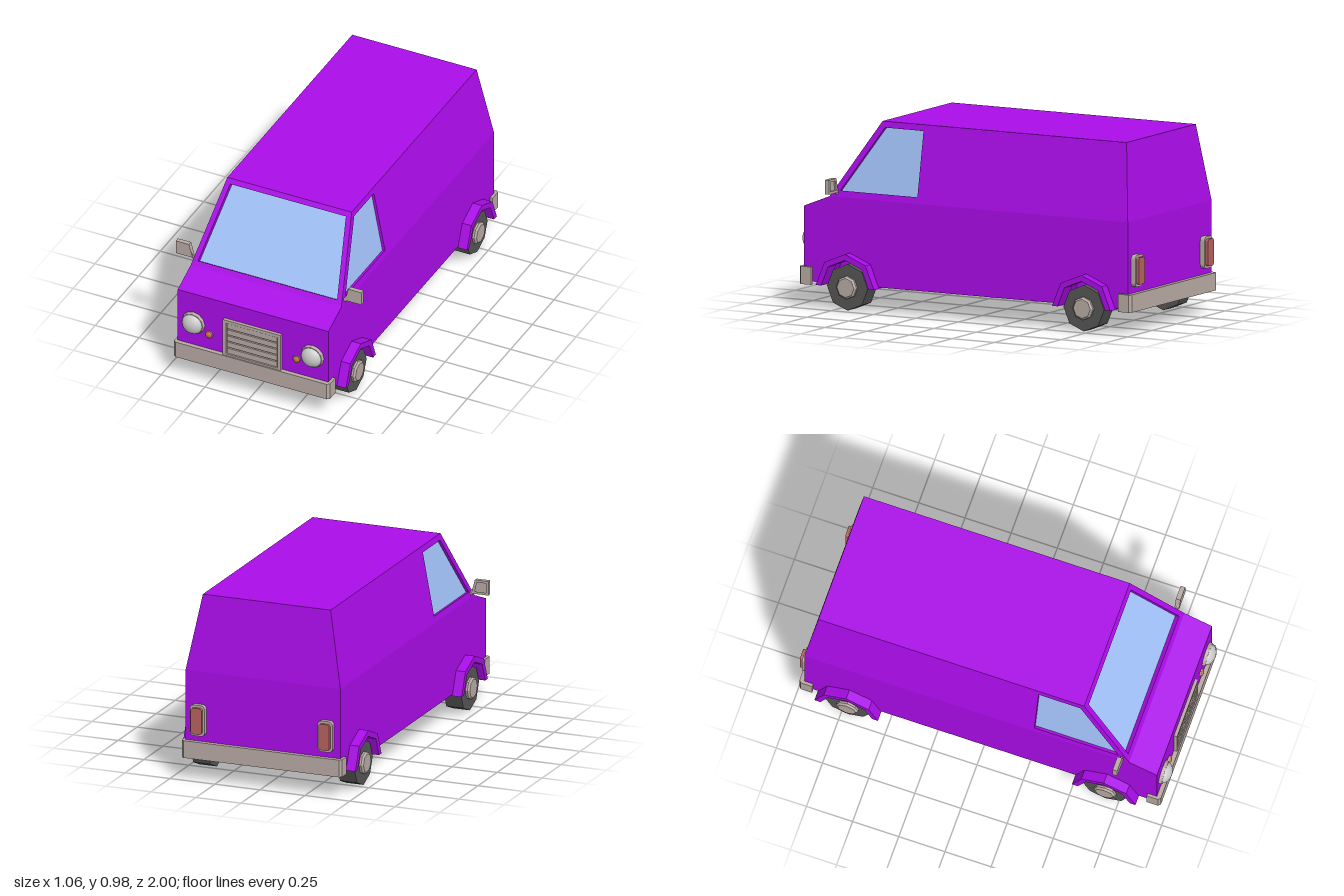
import * as THREE from 'three';

const paint = (color, opts = {}) => new THREE.MeshStandardMaterial({ color, flatShading: true, ...opts });
const PURPLE = paint(0xaa0ce8, { side: THREE.DoubleSide });
const GLASS = paint(0xa3c3fa, { side: THREE.DoubleSide });
const TRIM = paint(0xb8aaa3);
const TYRE = paint(0x555555);
const LAMP = paint(0xcccccc, { flatShading: false });
const AMBER = paint(0xc8703c, { flatShading: false });
const RED = paint(0xb86060);

const V = (x, y, z) => new THREE.Vector3(x, y, z);

function add(parent, name, geometry, material, x = 0, y = 0, z = 0) {
  const mesh = new THREE.Mesh(geometry, material);
  mesh.name = name;
  mesh.position.set(x, y, z);
  parent.add(mesh);
  return mesh;
}

// Quads with corners counter-clockwise seen from outside
function quads(list) {
  const pos = [];
  for (const [a, b, c, d] of list) for (const p of [a, b, c, a, c, d]) pos.push(p.x, p.y, p.z);
  const g = new THREE.BufferGeometry();
  g.setAttribute('position', new THREE.Float32BufferAttribute(pos, 3));
  g.computeVertexNormals();
  return g;
}

// Panel with a window sunk into it
function windowPanel(parent, name, outer, hole, depth) {
  const n = outer[1].clone().sub(outer[0]).cross(outer[2].clone().sub(outer[0])).normalize();
  const pane = hole.map((p) => p.clone().addScaledVector(n, -depth));
  const faces = [];
  for (let i = 0; i < 4; i++) {
    const j = (i + 1) % 4;
    faces.push([outer[i], outer[j], hole[j], hole[i]], [hole[i], hole[j], pane[j], pane[i]]);
  }
  add(parent, name + 'Frame', quads(faces), PURPLE);
  add(parent, name + 'Glass', quads([pane]), GLASS);
}

const shapeOf = (pts) => new THREE.Shape(pts.map(([a, b]) => new THREE.Vector2(a, b)));
const extrude = (shape, depth, extra = {}) =>
  new THREE.ExtrudeGeometry(shape, { depth, bevelEnabled: false, curveSegments: 4, ...extra });

// Side outline given as (z, y), extruded from x0 to x1
const sideExtrude = (pts, x0, x1) => extrude(shapeOf(pts), x1 - x0).rotateY(-Math.PI / 2).translate(x1, 0, 0);

// Upper half of an octagon as (z, y), running from front to back
const halfOctagon = (cz, cy, r) => [0, 1, 2, 3, 4].map((i) => {
  const a = (i * Math.PI) / 4;
  return [cz + r * Math.cos(a), cy + r * Math.sin(a)];
});

function roundedRect(w, h, r) {
  const s = new THREE.Shape();
  const x = w / 2, y = h / 2;
  s.absarc(x - r, y - r, r, 0, Math.PI / 2);
  s.absarc(-x + r, y - r, r, Math.PI / 2, Math.PI);
  s.absarc(-x + r, -y + r, r, Math.PI, 1.5 * Math.PI);
  s.absarc(x - r, -y + r, r, 1.5 * Math.PI, 2 * Math.PI);
  return s;
}

const AXLES = [0.68, -0.715];
const FLOOR = 0.13, BELT = 0.58, ROOF = 0.98;
const halfWidth = (y) => 0.43 - (y - BELT) * 0.1875;

function buildBody() {
  const body = new THREE.Group();
  body.name = 'body';
  // Lower body: solid core and flanks with wheel wells
  const top = [[-0.96, FLOOR], [-0.96, BELT], [0.8, BELT], [0.95, 0.52], [0.95, FLOOR]];
  const wells = AXLES.flatMap((z) => halfOctagon(z, FLOOR, 0.143));
  add(body, 'lowerCore', sideExtrude(top, -0.34, 0.34), PURPLE);
  add(body, 'leftFlank', sideExtrude([...top, ...wells], 0.34, 0.43), PURPLE);
  add(body, 'rightFlank', sideExtrude([...top, ...wells], -0.43, -0.34), PURPLE);

  // Upper body: roof, back and side panels
  const P = (s, y, z) => V(s * halfWidth(y), y, z);
  const upper = [
    [P(-1, ROOF, 0.53), P(1, ROOF, 0.53), P(1, ROOF, -0.91), P(-1, ROOF, -0.91)],
    [P(1, BELT, -0.96), P(-1, BELT, -0.96), P(-1, ROOF, -0.91), P(1, ROOF, -0.91)],
  ];
  for (const s of [1, -1]) {
    const wind = (q) => (s > 0 ? q : q.reverse());
    upper.push(wind([P(s, BELT, 0.25), P(s, BELT, -0.96), P(s, ROOF, -0.91), P(s, ROOF, 0.25)]));
    windowPanel(body, s > 0 ? 'leftWindow' : 'rightWindow',
      wind([P(s, BELT, 0.8), P(s, BELT, 0.25), P(s, ROOF, 0.25), P(s, ROOF, 0.53)]),
      wind([P(s, 0.613, 0.74), P(s, 0.613, 0.285), P(s, 0.948, 0.285), P(s, 0.948, 0.512)]), 0.015);
  }
  add(body, 'upperPanels', quads(upper), PURPLE);

  // Windscreen
  const W = (x, y) => V(x, y, 0.8 - (y - BELT) * 0.675);
  windowPanel(body, 'windscreen',
    [W(-0.43, BELT), W(0.43, BELT), W(0.355, ROOF), W(-0.355, ROOF)],
    [W(-0.397, 0.605), W(0.397, 0.605), W(0.33, 0.956), W(-0.33, 0.956)], 0.025);
  return body;
}

function buildWheel(s, z) {
  const wheel = new THREE.Group();
  wheel.name = 'wheel';
  const disc = (r0, r1, x0, x1) => new THREE.CylinderGeometry(r1, r0, x1 - x0, 8)
    .rotateZ(-Math.PI / 2).translate((x0 + x1) / 2, 0, 0);
  add(wheel, 'tyre', disc(0.12, 0.12, 0.36, 0.455), TYRE);
  add(wheel, 'hub', disc(0.06, 0.06, 0.44, 0.466), TRIM);
  add(wheel, 'hubCap', disc(0.06, 0.05, 0.466, 0.476), TRIM);
  wheel.position.set(0, 0.12, z);
  if (s < 0) wheel.rotation.y = Math.PI;
  return wheel;
}

// U-shaped bumper with chamfered corners, facing +z
function bumperGeometry() {
  const half = [[0.43, 0.9], [0.445, 0.9], [0.445, 0.962], [0.432, 0.973]];
  const mirror = half.map(([x, z]) => [-x, z]).reverse();
  const pts = [...half, ...mirror, [-0.43, 0.948], [0.43, 0.948]];
  return extrude(shapeOf(pts), 0.092).rotateX(Math.PI / 2).translate(0, 0.207, 0);
}

function buildGrille() {
  const grille = new THREE.Group();
  grille.name = 'grille';
  const frame = shapeOf([[-0.165, 0.2], [0.165, 0.2], [0.165, 0.425], [-0.165, 0.425]]);
  frame.holes.push(shapeOf([[-0.147, 0.218], [0.147, 0.218], [0.147, 0.408], [-0.147, 0.408]]));
  add(grille, 'grilleFrame', extrude(frame, 0.022), TRIM, 0, 0, 0.945);
  add(grille, 'grilleBack', new THREE.BoxGeometry(0.3, 0.2, 0.01), TRIM, 0, 0.313, 0.949);
  for (let i = 0; i < 5; i++) {
    add(grille, 'grilleSlat', new THREE.BoxGeometry(0.284, 0.031, 0.014), TRIM, 0, 0.237 + i * 0.038, 0.956);
  }
  return grille;
}

function buildLights(s) {
  const lights = new THREE.Group();
  lights.name = s > 0 ? 'leftLights' : 'rightLights';
  // Headlight and indicator
  const dome = (r, h) => new THREE.SphereGeometry(r, 20, 8, 0, Math.PI * 2, 0, Math.PI / 2)
    .rotateX(Math.PI / 2).scale(1, 1, h / r);
  add(lights, 'headlightRim', new THREE.CylinderGeometry(0.061, 0.067, 0.022, 12).rotateX(Math.PI / 2),
    TRIM, s * 0.34, 0.342, 0.956);
  add(lights, 'headlight', dome(0.058, 0.042), LAMP, s * 0.34, 0.342, 0.958);
  add(lights, 'indicatorRim', new THREE.CylinderGeometry(0.021, 0.021, 0.01, 12).rotateX(Math.PI / 2),
    TRIM, s * 0.25, 0.297, 0.952);
  add(lights, 'indicator', dome(0.018, 0.012), AMBER, s * 0.25, 0.297, 0.956);
  // Tail light
  add(lights, 'tailLightRim', extrude(roundedRect(0.082, 0.165, 0.022), 0.03), TRIM, s * 0.355, 0.323, -0.985);
  add(lights, 'tailLight', extrude(roundedRect(0.06, 0.14, 0.014), 0.02), RED, s * 0.355, 0.323, -1);
  return lights;
}

function buildMirror(s) {
  const mirror = new THREE.Group();
  mirror.name = s > 0 ? 'leftMirror' : 'rightMirror';
  const flip = (pts) => shapeOf(pts.map(([x, y]) => [s * x, y]));
  const outline = [[0.435, 0.605], [0.53, 0.605], [0.53, 0.68], [0.455, 0.68]];
  const rim = flip(outline);
  rim.holes.push(flip([[0.455, 0.618], [0.518, 0.618], [0.518, 0.668], [0.466, 0.668]]));
  add(mirror, 'mirrorShell', extrude(flip(outline), 0.015), TRIM, 0, 0, 0.755);
  add(mirror, 'mirrorRim', extrude(rim, 0.01), TRIM, 0, 0, 0.745);
  add(mirror, 'mirrorArm', extrude(flip([[0.41, 0.595], [0.43, 0.592], [0.46, 0.61], [0.445, 0.635]]), 0.012),
    TRIM, 0, 0, 0.753);
  return mirror;
}

export function createModel() {
  const van = new THREE.Group();
  van.name = 'van';
  van.add(buildBody(), buildGrille());

  add(van, 'frontBumper', bumperGeometry(), TRIM);
  add(van, 'rearBumper', bumperGeometry().rotateY(Math.PI), TRIM, 0, 0, -0.012);

  for (const s of [1, -1]) {
    van.add(buildLights(s), buildMirror(s));
    for (const z of AXLES) {
      van.add(buildWheel(s, z));
      // Wheel arch flare
      const ring = [...halfOctagon(z, 0.123, 0.172), ...halfOctagon(z, 0.123, 0.14).reverse()];
      add(van, 'wheelArch', s > 0 ? sideExtrude(ring, 0.4, 0.482) : sideExtrude(ring, -0.482, -0.4), PURPLE);
    }
  }
  return van;
}
